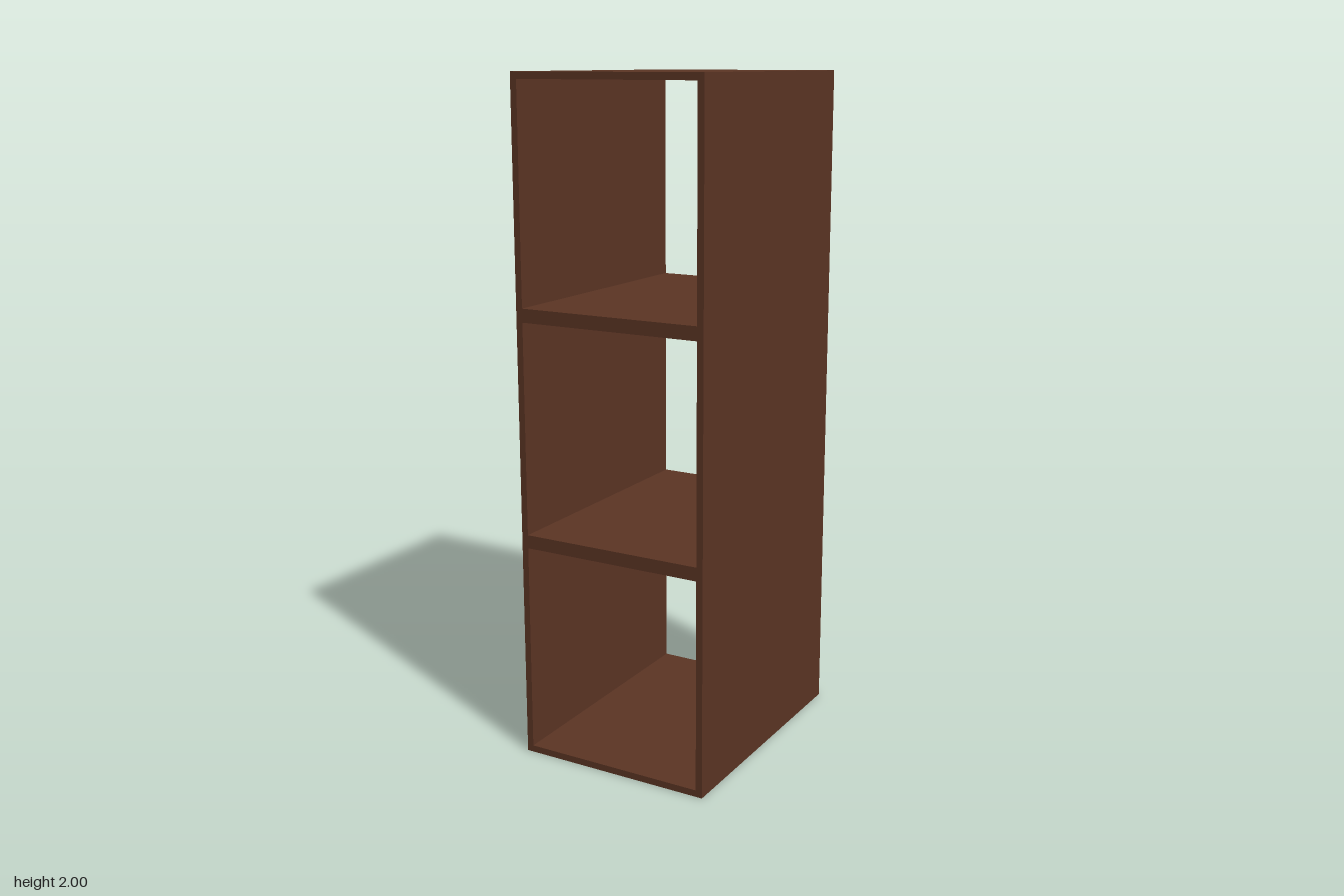
import * as THREE from 'three';

const WIDTH = 0.6, HEIGHT = 2, DEPTH = 0.8, BOARD = 0.02, BAYS = 3;

export function createModel() {
  const model = new THREE.Group();
  model.name = 'openShelfUnit';
  const wood = new THREE.MeshStandardMaterial({ color: 0x5c3524 });
  wood.name = 'darkBrownWood';

  const addBoard = (name, width, height, x, y) => {
    const board = new THREE.Mesh(new THREE.BoxGeometry(width, height, DEPTH), wood);
    board.name = name;
    board.position.set(x, y, 0);
    model.add(board);
  };

  // Full-height side panels
  const sideX = (WIDTH - BOARD) / 2;
  addBoard('leftPanel', BOARD, HEIGHT, sideX, HEIGHT / 2);
  addBoard('rightPanel', BOARD, HEIGHT, -sideX, HEIGHT / 2);

  // Bottom and top boards between the sides
  const innerWidth = WIDTH - 2 * BOARD;
  addBoard('bottomBoard', innerWidth, BOARD, 0, BOARD / 2);
  addBoard('topBoard', innerWidth, BOARD, 0, HEIGHT - BOARD / 2);

  // Double-thickness shelves dividing the unit into equal bays, open front and back
  for (let i = 1; i < BAYS; i++) {
    addBoard(`shelf${i}`, innerWidth, BOARD * 2, 0, (HEIGHT * i) / BAYS);
  }
  return model;
}
